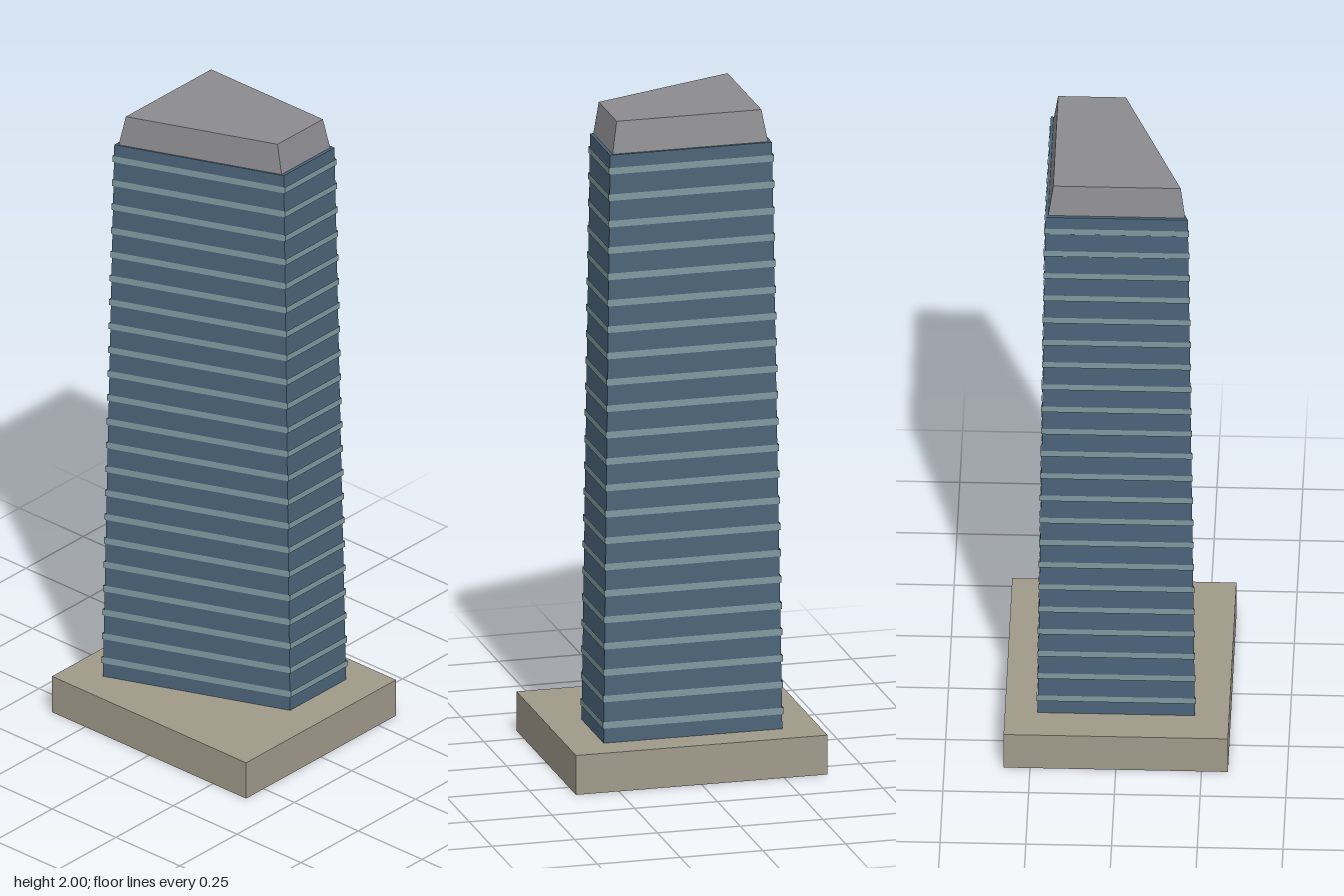
import * as THREE from 'three';

// Four-sided plan of the tower, at its foot
const PLAN = [[-0.27, -0.2315], [0.27, -0.2315], [0.27, 0.0125], [-0.27, 0.2275]];
const FOOT = 0.12, ROOF = 1.905;

// Plan scale of the tapering shaft at height y
const taper = (y) => 1 - 0.094 * (y - FOOT) / (ROOF - FOOT);

// Flat-sided solid between two scaled copies of the plan
function loft(y0, s0, y1, s1, capped) {
  const lower = PLAN.map(([x, z]) => [x * s0, y0, z * s0]);
  const upper = PLAN.map(([x, z]) => [x * s1, y1, z * s1]);
  const pos = [];
  const tri = (...corners) => corners.forEach((c) => pos.push(...c));
  for (let i = 0; i < 4; i++) {
    const j = (i + 1) % 4;
    tri(lower[i], upper[i], upper[j]);
    tri(lower[i], upper[j], lower[j]);
  }
  if (capped) {
    tri(upper[0], upper[2], upper[1]);
    tri(upper[0], upper[3], upper[2]);
    tri(lower[0], lower[1], lower[2]);
    tri(lower[0], lower[2], lower[3]);
  }
  const geometry = new THREE.BufferGeometry();
  geometry.setAttribute('position', new THREE.Float32BufferAttribute(pos, 3));
  geometry.computeVertexNormals();
  return geometry;
}

export function createModel() {
  const model = new THREE.Group();
  model.name = 'officeTower';
  const stone = new THREE.MeshStandardMaterial({ color: 0xa09a8a });
  const glass = new THREE.MeshStandardMaterial({ color: 0x4a6378 });
  const trim = new THREE.MeshStandardMaterial({ color: 0x7f999f, side: THREE.DoubleSide });
  const metal = new THREE.MeshStandardMaterial({ color: 0x8c8c90 });

  const add = (parent, name, geometry, material) => {
    const mesh = new THREE.Mesh(geometry, material);
    mesh.name = name;
    parent.add(mesh);
    return mesh;
  };

  // Plinth
  add(model, 'plinth', new THREE.BoxGeometry(0.76, FOOT, 0.654), stone).position.y = FOOT / 2;

  // Tapering shaft, sunk slightly into the plinth
  add(model, 'shaft', loft(0.02, taper(0.02), ROOF, taper(ROOF), true), glass);

  // Floor bands: thin upright strips just proud of the shaft
  const bands = new THREE.Group();
  bands.name = 'floorBands';
  model.add(bands);
  const count = 22, height = 0.02;
  for (let i = 0; i < count; i++) {
    const y = 0.175 + i * 0.0801;
    const s = taper(y) * 1.015;
    add(bands, 'floorBand', loft(y - height / 2, s, y + height / 2, s, false), trim);
  }

  // Set-back crown
  add(model, 'crown', loft(ROOF, 0.87, 2, 0.81, true), metal);

  return model;
}
